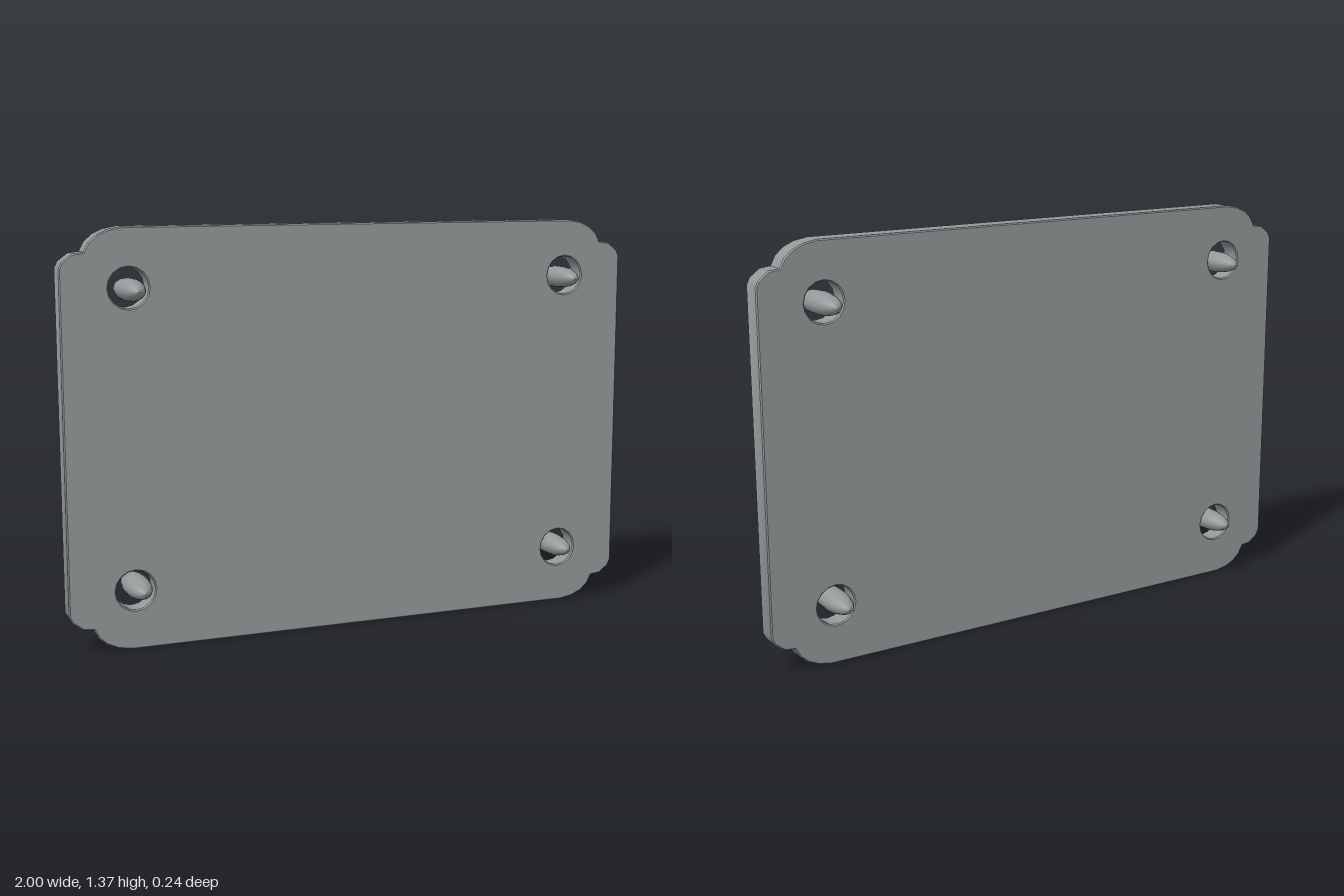
import * as THREE from 'three';
import { toCreasedNormals } from 'three/addons/utils/BufferGeometryUtils.js';

const material = new THREE.MeshStandardMaterial({ color: 0x939999 });
const HALF_HEIGHT = 0.686, MID_Y = 0.687, BEVEL = 0.004, DEPTH = 0.073;

// One stepped corner, measured from the plate's centre
const corner = [
  [1, 0.56], [0.99, 0.58], [0.958, 0.604], [0.922, 0.608], [0.906, 0.639],
  [0.88, 0.662], [0.845, 0.678], [0.8, HALF_HEIGHT],
];

function plateGeometry(holes) {
  const reversed = [...corner].reverse();
  const outline = [
    ...corner,
    ...reversed.map(([x, y]) => [-x, y]),
    ...corner.map(([x, y]) => [-x, -y]),
    ...reversed.map(([x, y]) => [x, -y]),
  ].map(([x, y]) => new THREE.Vector2(x - Math.sign(x) * BEVEL, y - Math.sign(y) * BEVEL + MID_Y));
  const shape = new THREE.Shape(outline);
  for (const [x, y] of holes) {
    shape.holes.push(new THREE.Path().absarc(x, y, 0.066 + BEVEL, 0, Math.PI * 2, true));
  }
  const geometry = new THREE.ExtrudeGeometry(shape, {
    depth: DEPTH - 2 * BEVEL, bevelThickness: BEVEL, bevelSize: BEVEL, bevelSegments: 1, curveSegments: 8,
  });
  geometry.translate(0, 0, BEVEL - DEPTH / 2 - 0.003);
  // The crease angle is below the bevel's 45 degrees, so both faces stay flat
  return toCreasedNormals(geometry, 0.5);
}

// Spindle tapering to a blunt point at both ends
function pinGeometry() {
  const half = [[0.044, 0], [0.043, 0.03], [0.039, 0.06], [0.03, 0.09], [0.018, 0.112], [0, 0.122]];
  const profile = [
    ...half.slice(1).reverse().map(([r, z]) => new THREE.Vector2(r, -z)),
    ...half.map(([r, z]) => new THREE.Vector2(r, z)),
  ];
  return new THREE.LatheGeometry(profile, 16).rotateX(Math.PI / 2).scale(1, 0.84, 1);
}

export function createModel() {
  const group = new THREE.Group();
  group.name = 'mountingPlate';

  // Flat panel with a round hole near each corner
  const holes = [[-0.78, 1.18], [0.78, 1.18], [-0.78, 0.198], [0.775, 0.198]];
  const plate = new THREE.Mesh(plateGeometry(holes), material);
  plate.name = 'plate';
  group.add(plate);

  // A loose pin through each hole
  const pin = pinGeometry();
  for (const [x, y] of [[-0.77, 1.173], [0.774, 1.173], [-0.77, 0.206], [0.767, 0.206]]) {
    const mesh = new THREE.Mesh(pin, material);
    mesh.name = `${y > 1 ? 'upper' : 'lower'}${x > 0 ? 'Left' : 'Right'}Pin`;
    mesh.position.set(x, y, 0);
    group.add(mesh);
  }
  return group;
}
